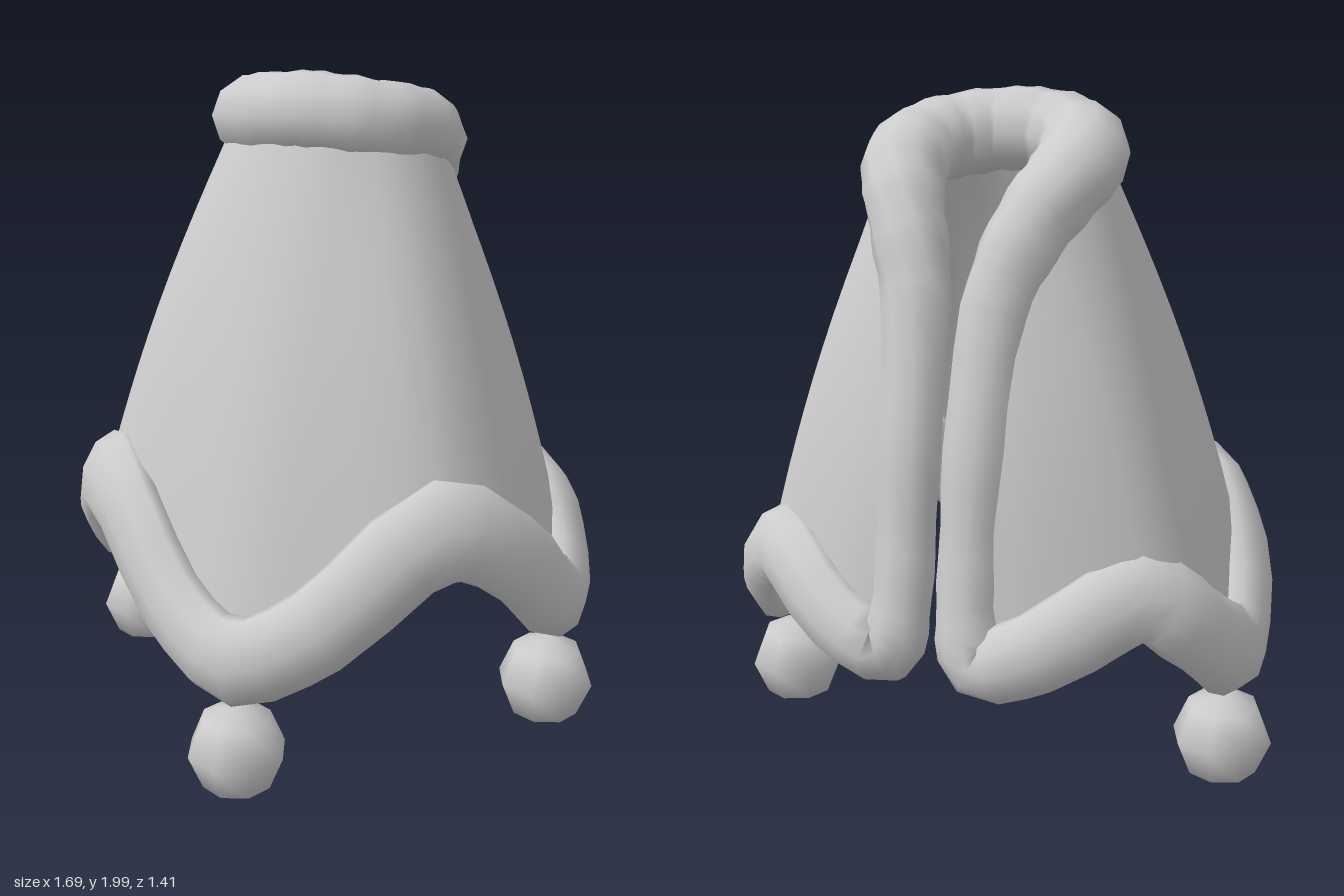
import * as THREE from 'three';

const AXIS_Z = -0.12;
const { lerp, smoothstep } = THREE.MathUtils;

// Mirror a half path (front centre to back, +x side) into an open curve
function mirroredCurve(half) {
  const left = half.map(([x, y, z]) => new THREE.Vector3(x, y, z));
  const right = left.slice(1).reverse().map((p) => new THREE.Vector3(-p.x, p.y, p.z));
  return new THREE.CatmullRomCurve3([...right, ...left]);
}

// Horizontal direction away from the cape's vertical axis
const outward = (p) => new THREE.Vector3(p.x, 0, p.z - AXIS_Z).normalize();

function meshGeometry(positions, indices) {
  const g = new THREE.BufferGeometry();
  g.setAttribute('position', new THREE.Float32BufferAttribute(positions, 3));
  g.setIndex(indices);
  g.computeVertexNormals();
  return g;
}

// Padded roll around a closed loop of [x, y, z, thickness, width] sections
function rollGeometry(sections, stepsPerSection, sides) {
  const count = sections.length, steps = count * stepsPerSection;
  const curve = new THREE.CatmullRomCurve3(
    sections.map(([x, y, z]) => new THREE.Vector3(x, y, z)), true);
  const pos = [], idx = [];
  for (let i = 0; i < steps; i++) {
    const u = i / steps, k = Math.floor(i / stepsPerSection);
    const f = i / stepsPerSection - k;
    const from = sections[k], to = sections[(k + 1) % count];
    const lump = 1 + 0.03 * Math.sin(Math.min(i, steps - i) * 1.9);
    const thick = lerp(from[3], to[3], f) * lump;
    const wide = lerp(from[4], to[4], f) * lump;
    const p = curve.getPoint(u), t = curve.getTangent(u);
    // round at the neck, flatter on the inside and leaning at the hem arches
    const low = 1 - smoothstep(p.y, 0.9, 1.6);
    const n = outward(p);
    n.y = 0.35 * low * smoothstep(p.y, 0.45, 0.75);
    n.addScaledVector(t, -n.dot(t)).normalize();
    const b = new THREE.Vector3().crossVectors(t, n);
    for (let j = 0; j < sides; j++) {
      const a = (j / sides) * Math.PI * 2, c = Math.cos(a);
      const q = p.clone()
        .addScaledVector(n, thick * c * (c < 0 ? 1 - 0.5 * low : 1))
        .addScaledVector(b, wide * Math.sin(a));
      pos.push(q.x, q.y, q.z);
      const j2 = (j + 1) % sides, r = i * sides, r2 = ((i + 1) % steps) * sides;
      idx.push(r + j, r + j2, r2 + j, r + j2, r2 + j2, r2 + j);
    }
  }
  return meshGeometry(pos, idx);
}

// Cloth sheet stretched between two curves, bulging gently outward
function sheetGeometry(top, bottom, cols, rows) {
  const pos = [], idx = [];
  for (let i = 0; i <= cols; i++) {
    const a = top.getPoint(i / cols), b = bottom.getPoint(i / cols);
    for (let j = 0; j <= rows; j++) {
      const f = j / rows;
      const p = a.clone().lerp(b, f);
      p.addScaledVector(outward(p), 0.055 - 0.04 * f + 0.03 * Math.sin(Math.PI * f));
      pos.push(p.x, p.y, p.z);
      if (i < cols && j < rows) {
        const r = i * (rows + 1) + j, r2 = r + rows + 1;
        idx.push(r, r + 1, r2, r + 1, r2 + 1, r2);
      }
    }
  }
  return meshGeometry(pos, idx);
}

export function createModel() {
  const group = new THREE.Group();
  const cloth = new THREE.MeshStandardMaterial({ color: 0xcccccc, side: THREE.DoubleSide });
  cloth.name = 'light grey cloth';

  const add = (name, geometry) => {
    const mesh = new THREE.Mesh(geometry, cloth);
    mesh.name = name;
    group.add(mesh);
    return mesh;
  };

  // Neckline, sloping down towards the slit at the back
  const neck = [
    [0, 1.88, 0.065, 0.115, 0.12], [0.09, 1.875, 0.055, 0.115, 0.12],
    [0.18, 1.86, 0.005, 0.12, 0.12], [0.235, 1.845, -0.08, 0.125, 0.115],
    [0.25, 1.815, -0.17, 0.125, 0.115], [0.235, 1.77, -0.24, 0.12, 0.115],
    [0.2, 1.7, -0.31, 0.11, 0.115], [0.155, 1.59, -0.37, 0.1, 0.11],
    [0.118, 1.45, -0.42, 0.09, 0.105],
  ];
  // Edges of the back slit, down to the corner
  const slit = [
    [0.1, 1.1, -0.515, 0.085, 0.095], [0.096, 0.8, -0.56, 0.085, 0.09],
    [0.1, 0.64, -0.59, 0.09, 0.09],
  ];
  // Scalloped hem: front point, arch, side point, arch, back corner
  const hem = [
    [0, 0.43, 0.56, 0.1, 0.135], [0.22, 0.535, 0.49, 0.095, 0.125],
    [0.51, 0.81, 0.315, 0.09, 0.145], [0.66, 0.68, 0.12, 0.09, 0.13],
    [0.715, 0.47, -0.13, 0.1, 0.135], [0.66, 0.6, -0.33, 0.09, 0.125],
    [0.535, 0.72, -0.45, 0.09, 0.125], [0.29, 0.58, -0.585, 0.1, 0.12],
    [0.13, 0.53, -0.605, 0.095, 0.1],
  ];

  add('capeBody', sheetGeometry(mirroredCurve(neck), mirroredCurve(hem), 48, 12));

  // One continuous roll: neckline, slit, hem, and back up the other side
  const half = [...neck, ...slit, ...hem.slice().reverse()];
  const otherHalf = half.slice(1, -1).reverse().map(([x, ...rest]) => [-x, ...rest]);
  add('edgeRoll', rollGeometry([...half, ...otherHalf], 3, 10));

  // Pompoms hanging below the three hem points
  const pompom = new THREE.SphereGeometry(0.145, 8, 4);
  for (const [name, x, y, z] of [
    ['frontPompom', 0, 0.15, 0.56],
    ['leftPompom', 0.7, 0.19, -0.14],
    ['rightPompom', -0.7, 0.19, -0.14],
  ]) add(name, pompom).position.set(x, y, z);

  return group;
}
